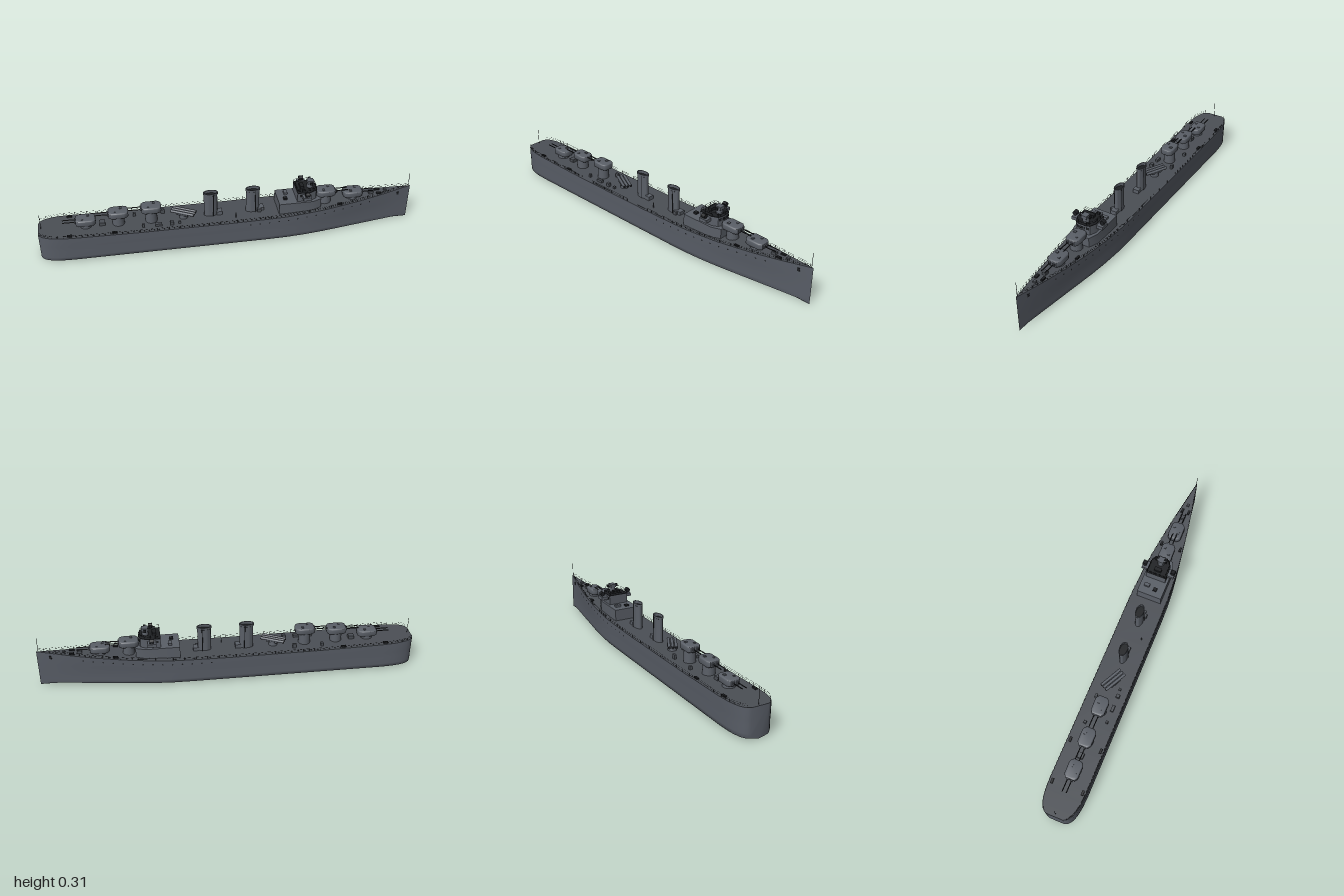
import * as THREE from 'three';
import { mergeGeometries, toCreasedNormals } from 'three/addons/utils/BufferGeometryUtils.js';

const mat = (name, color, side = THREE.FrontSide) => {
  const m = new THREE.MeshStandardMaterial({ color, side });
  m.name = name;
  return m;
};

// Piecewise linear lookup for the hull lines
const lookup = (table) => (x) => {
  for (let i = 1; i < table.length; i++) {
    const [x0, a] = table[i - 1], [x1, b] = table[i];
    if (x <= x1) return a + (b - a) * (x - x0) / (x1 - x0);
  }
  return table[table.length - 1][1];
};
const beam = lookup([[-1, .045], [-.993, .06], [-.98, .073], [-.96, .083], [-.93, .092], [-.89, .098], [-.83, .101],
  [.2, .101], [.3, .099], [.4, .093], [.5, .084], [.6, .071], [.7, .056], [.8, .039], [.9, .02], [1, .001]]);
const deckY = lookup([[-1, .163], [-.8, .157], [-.5, .151], [0, .149], [.3, .153], [.5, .162], [.7, .176], [.85, .19], [1, .207]]);

export function createModel() {
  const ship = new THREE.Group();
  ship.name = 'warship';
  const hullGrey = mat('hull grey', 0x585d66);
  const deckGrey = mat('deck grey', 0x4b4f55);
  const houseGrey = mat('superstructure grey', 0x5a5f67);
  const dark = mat('dark fittings', 0x1d1f22, THREE.DoubleSide);

  const add = (name, geo, material, x = 0, y = 0, z = 0, parent = ship) => {
    const m = new THREE.Mesh(geo, material);
    m.name = name;
    m.position.set(x, y, z);
    parent.add(m);
    return m;
  };
  const box = (name, w, h, d, material, x, y, z, parent) =>
    add(name, new THREE.BoxGeometry(w, h, d), material, x, y, z, parent);
  const cyl = (name, r0, r1, h, material, x, y, z, parent) =>
    add(name, new THREE.CylinderGeometry(r0, r1, h, 20), material, x, y, z, parent);
  // Thin rod between two points
  const rod = (a, b, r = .0008) => {
    const p = new THREE.Vector3(...a), q = new THREE.Vector3(...b);
    return new THREE.TubeGeometry(new THREE.LineCurve3(p, q), 1, r, 5);
  };
  // Extruded plan outline with smooth sides; the base sits at y = 0
  const slab = (points, h, bevel = 0) => {
    const s = new THREE.Shape(points.map(([x, z]) => new THREE.Vector2(x, z)));
    const g = new THREE.ExtrudeGeometry(s, { depth: h - 2 * bevel, bevelEnabled: bevel > 0, bevelSize: bevel,
      bevelThickness: bevel, bevelOffset: -bevel, bevelSegments: 3 });
    g.translate(0, 0, bevel).rotateX(-Math.PI / 2);
    return toCreasedNormals(g, .7);
  };

  // Hull lofted from cross-sections, with transom and deck
  const stations = [-1, -.993, -.98, -.96, -.93, -.89, -.83, -.65, -.5, -.25, 0, .2, .3, .4, .5, .6, .7, .8, .85, .9, .95, 1];
  const pos = [], idx = [], deckPos = [], deckIdx = [];
  const n = 13;
  stations.forEach((x, i) => {
    const w = beam(x), d = deckY(x);
    const f = 1 - .2 * THREE.MathUtils.smoothstep(x, .3, .9);
    const half = [[w, d], [w * (.6 + .4 * f), d * .65], [w * .98 * f, .072], [w * f, .035], [w * .985 * f, .018], [w * .93 * f, .011]];
    const ring = [...half, [0, .001], ...half.slice().reverse().map(([z, y]) => [-z, y])];
    ring.forEach(([z, y]) => pos.push(x, y, z));
    deckPos.push(x, d - .001, w, x, d - .001, -w);
    if (i === stations.length - 1) return;
    for (let j = 0; j < n - 1; j++) {
      const a = i * n + j, b = a + n;
      idx.push(a, a + 1, b, b, a + 1, b + 1);
    }
    const k = 2 * i;
    deckIdx.push(k, k + 2, k + 1, k + 2, k + 3, k + 1);
  });
  for (let j = 1; j < n - 1; j++) idx.push(0, j + 1, j);
  const mesh = (p, t) => {
    const g = new THREE.BufferGeometry();
    g.setAttribute('position', new THREE.Float32BufferAttribute(p, 3));
    g.setIndex(t);
    g.computeVertexNormals();
    return g;
  };
  add('hull', toCreasedNormals(mesh(pos, idx), .6), hullGrey);
  add('deck', mesh(deckPos, deckIdx), deckGrey);

  // Portholes, hawse holes, bollards and deck-edge railings on both sides
  const rails = [];
  for (const s of [1, -1]) {
    for (let i = 0; i < 14; i++) {
      const x = .1 + i * .051;
      const p = add('porthole', new THREE.CircleGeometry(.0042, 10), dark, x, deckY(x) - .024, s * (beam(x) + .0012));
      p.rotation.y = Math.atan2(beam(x - .02) - beam(x + .02), .04);
      if (s < 0) p.rotation.y = Math.PI - p.rotation.y;
    }
    box('hawse hole', .013, .018, .004, dark, .93, .172, s * .0135).rotation.y = s * .2;
    for (const x of [-.84, -.61, .595, .82]) {
      box('bollard', .026, .008, .012, dark, x, deckY(x) + .003, s * (beam(x) - .017));
    }
    let last = null;
    for (let x = -.99; x < .995; x += .03) {
      const foot = [x, deckY(x), s * (beam(x) - .002)], top = [x, deckY(x) + .016, foot[2]];
      rails.push(rod(foot, top, .0006));
      if (last) {
        rails.push(rod(last, top, .0004));
        rails.push(rod([last[0], last[1] - .008, last[2]], [top[0], top[1] - .008, top[2]], .0004));
      }
      last = top;
    }
  }
  add('deckRailing', mergeGeometries(rails), dark);
  add('jackStaff', rod([.99, .2, 0], [.99, .285, 0], .0012), dark);
  add('ensignStaff', rod([-.985, .16, 0], [-.985, .25, 0], .0012), dark);

  // Twin gun turrets: x, base height, firing direction
  const plan = [[.05, -.024], [.05, .024], [.034, .036], [-.03, .037], [-.045, .031], [-.053, .018], [-.053, -.018],
    [-.045, -.031], [-.03, -.037], [.034, -.036]];
  for (const [x, y, dir] of [[-.755, .172, -1], [-.585, .2, -1], [-.413, .212, -1], [.525, .208, 1], [.675, .186, 1]]) {
    const t = new THREE.Group();
    t.name = 'gunTurret';
    t.position.set(x, y, 0);
    t.rotation.y = dir < 0 ? Math.PI : 0;
    ship.add(t);
    add('gunhouse', slab(plan, .035, .007), houseGrey, 0, 0, 0, t);
    const h = y - deckY(x) + .01;
    cyl('barbette', .03, .032, h, houseGrey, 0, .004 - h / 2, 0, t);
    for (const z of [.011, -.011]) {
      add('gunBarrel', rod([.04, .019, z], [.12, .02, z], .0027), dark, 0, 0, 0, t);
      box('gunMantlet', .012, .014, .01, houseGrey, .05, .019, z, t);
    }
    box('sightHood', .012, .006, .014, houseGrey, -.015, .037, .015, t);
    box('sightHood', .01, .005, .01, houseGrey, .015, .036, -.016, t);
  }

  // Oval funnels with dark open tops and a cap band
  for (const x of [-.098, .127]) {
    const f = new THREE.Group();
    f.name = 'funnel';
    f.position.set(x, .145, 0);
    f.scale.z = .56;
    ship.add(f);
    const wall = [[.036, 0], [.036, .132], [.039, .134], [.039, .145], [.034, .145], [.034, .12]]
      .map(([r, y]) => new THREE.Vector2(r, y));
    add('funnelCasing', toCreasedNormals(new THREE.LatheGeometry(wall, 32), .6), houseGrey, 0, 0, 0, f);
    cyl('funnelMouth', .0345, .0345, .003, dark, 0, .127, 0, f);
    for (const z of [.039, -.039]) add('steamPipe', rod([.012, 0, z], [.012, .14, z], .0025), dark, 0, 0, 0, f);
    box('funnelVent', .03, .025, .06, houseGrey, .045, .012, 0, f);
  }

  // Trainable torpedo tubes
  const tubes = new THREE.Group();
  tubes.name = 'torpedoTubes';
  tubes.position.set(-.243, .165, 0);
  tubes.rotation.y = -.48;
  ship.add(tubes);
  cyl('tubeMount', .02, .024, .03, houseGrey, 0, -.005, 0, tubes);
  box('tubeCradle', .06, .008, .052, houseGrey, 0, .011, 0, tubes);
  for (const z of [-.018, 0, .018]) {
    cyl('torpedoTube', .0075, .0075, .128, houseGrey, 0, .019, z, tubes).rotation.z = Math.PI / 2;
    for (const e of [-.0645, .0645]) cyl('tubeDoor', .006, .006, .002, dark, e, .019, z, tubes).rotation.z = Math.PI / 2;
  }

  // Small deck lockers, vents and winches
  for (const [x, z, w, h, d] of [[-.38, .055, .035, .014, .015], [-.31, .055, .018, .02, .018], [-.5, -.05, .014, .018, .014],
    [-.46, .055, .012, .02, .012], [-.27, .05, .012, .012, .012], [-.35, -.05, .02, .024, .012], [.16, .022, .02, .02, .014],
    [-.67, .0, .03, .018, .03], [.03, .05, .004, .03, .004], [.78, 0, .024, .014, .02], [.86, 0, .014, .01, .014]]) {
    box('deckLocker', w, h, d, deckGrey, x, deckY(x) + h / 2 - .001, z);
  }

  // Forward deckhouse and bridge
  const house = [[.26, -.068], [.44, -.068], [.49, -.05], [.49, .05], [.44, .068], [.26, .068]];
  add('deckhouse', slab(house, .069), houseGrey, 0, .145, 0);
  box('deckhouseLocker', .02, .01, .02, dark, .3, .218, .02);
  box('deckhouseVent', .018, .014, .03, houseGrey, .31, .22, -.03);
  const bridge = [[.358, -.055], [.43, -.055], [.462, -.04], [.47, -.02], [.47, .02], [.462, .04], [.43, .055], [.358, .055]];
  add('bridge', slab(bridge, .053), houseGrey, 0, .212, 0);
  add('bridgeRoof', slab(bridge.map(([x, z]) => [x, z * 1.02]), .004), dark, 0, .264, 0);
  for (const z of [-.013, 0, .013]) box('bridgeWindow', .003, .013, .01, dark, .47, .25, z);
  for (const s of [1, -1]) {
    box('bridgeWindow', .003, .013, .014, dark, .4667, .25, s * .03).rotation.y = -s * .38;
    for (const x of [.375, .4, .42]) box('sideWindow', .01, .012, .003, dark, x, .248, s * .055);
    // Gun tubs sponsoned out from the bridge wings
    box('wingPlatform', .045, .018, .036, houseGrey, .405, .247, s * .073);
    cyl('wingGunPost', .005, .006, .012, houseGrey, .405, .26, s * .08);
    const drum = cyl('wingSearchlight', .012, .012, .022, dark, .405, .27, s * .08);
    drum.rotation.z = Math.PI / 2;
  }

  // Bridge-top railing
  const top = [];
  const corners = [[.36, .05], [.435, .05], [.465, .025], [.465, -.025], [.435, -.05], [.36, -.05]];
  corners.forEach(([x, z], i) => {
    const [u, v] = corners[(i + 1) % corners.length];
    for (const t of [0, .33, .67]) {
      const a = x + (u - x) * t, b = z + (v - z) * t;
      top.push(rod([a, .266, b], [a, .287, b], .0007));
    }
    for (const y of [.277, .287]) top.push(rod([x, y, z], [u, y, v], .0007));
  });
  add('bridgeRailing', mergeGeometries(top), dark);

  // Director tower and rangefinder
  cyl('directorPedestal', .015, .018, .026, houseGrey, .435, .278, 0);
  box('directorHouse', .034, .018, .032, houseGrey, .437, .299, 0);
  cyl('rangefinder', .0055, .0055, .06, houseGrey, .437, .3, 0).rotation.x = Math.PI / 2;
  for (const z of [.027, -.027]) box('rangefinderHead', .013, .013, .008, dark, .437, .3, z);
  box('chartTable', .02, .018, .04, dark, .39, .274, 0);

  return ship;
}
